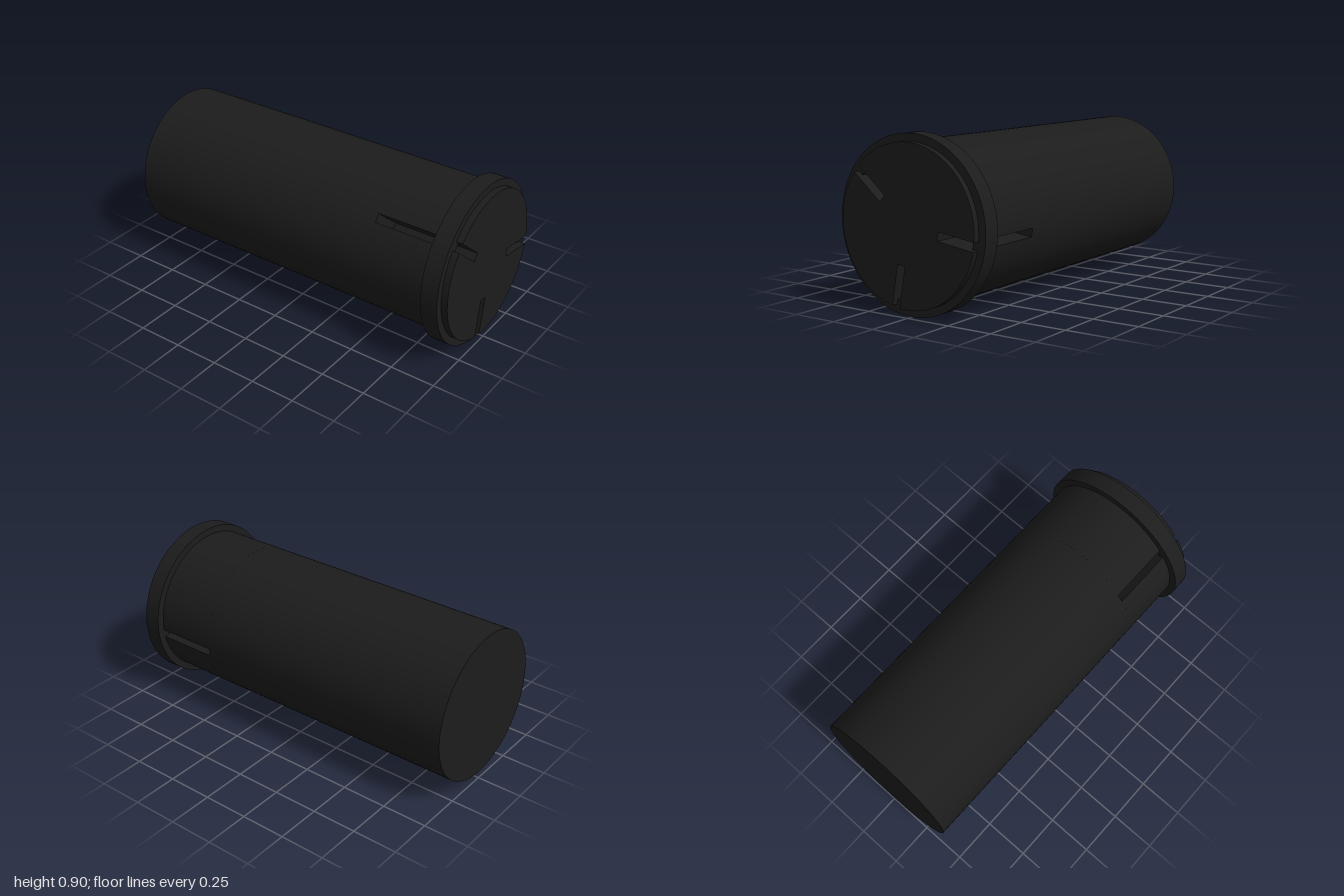
import * as THREE from 'three';
import { toCreasedNormals } from 'three/addons/utils/BufferGeometryUtils.js';

const BODY_R = 0.41, RING_R = 0.45, AXIS_Y = 0.45;
const SLOT_INNER = 0.195, SLOT_HALF = 0.023, SLOT_START = 0.52;
const SLOT_ANGLES = [-100, -8, 140].map(THREE.MathUtils.degToRad);

// Disc outline with radial slots open at the rim
function slottedDisc() {
  const shape = new THREE.Shape();
  const da = Math.asin(SLOT_HALF / BODY_R);
  SLOT_ANGLES.forEach((a, i) => {
    const last = i === SLOT_ANGLES.length - 1;
    const next = last ? SLOT_ANGLES[0] + Math.PI * 2 : SLOT_ANGLES[i + 1];
    shape.absarc(0, 0, BODY_R, a + da, next - da, false);
    const c = Math.cos(next), s = Math.sin(next);
    for (const h of [-SLOT_HALF, SLOT_HALF]) {
      shape.lineTo(SLOT_INNER * c - h * s, SLOT_INNER * s + h * c);
    }
  });
  return shape;
}

// Annulus outline
function annulus(outer, inner) {
  const shape = new THREE.Shape().absarc(0, 0, outer, 0, Math.PI * 2, false);
  shape.holes.push(new THREE.Path().absarc(0, 0, inner, 0, Math.PI * 2, true));
  return shape;
}

// Extrude an outline along x from x0 to x1, smooth round the rim
function extrudeX(shape, x0, x1, segments) {
  const geo = new THREE.ExtrudeGeometry(shape, {
    depth: x1 - x0, bevelEnabled: false, curveSegments: segments,
  });
  geo.rotateY(Math.PI / 2).translate(x0, AXIS_Y, 0);
  return toCreasedNormals(geo, 0.5);
}

export function createModel() {
  const group = new THREE.Group();
  const material = new THREE.MeshStandardMaterial({ color: 0x1c1c1c });
  const add = (name, geo) => {
    const mesh = new THREE.Mesh(geo, material);
    mesh.name = name;
    group.add(mesh);
  };

  // Plain barrel; its end cap is the floor of the slots
  const length = SLOT_START + 1;
  add('barrel', new THREE.CylinderGeometry(BODY_R, BODY_R, length, 96)
    .rotateZ(-Math.PI / 2).translate(-1 + length / 2, AXIS_Y, 0));

  // Slotted end of the barrel
  add('slottedEnd', extrudeX(slottedDisc(), SLOT_START, 1, 40));

  // Collar bridging the slots
  add('collar', extrudeX(annulus(RING_R, 0.38), 0.87, 0.965, 96));

  return group;
}
